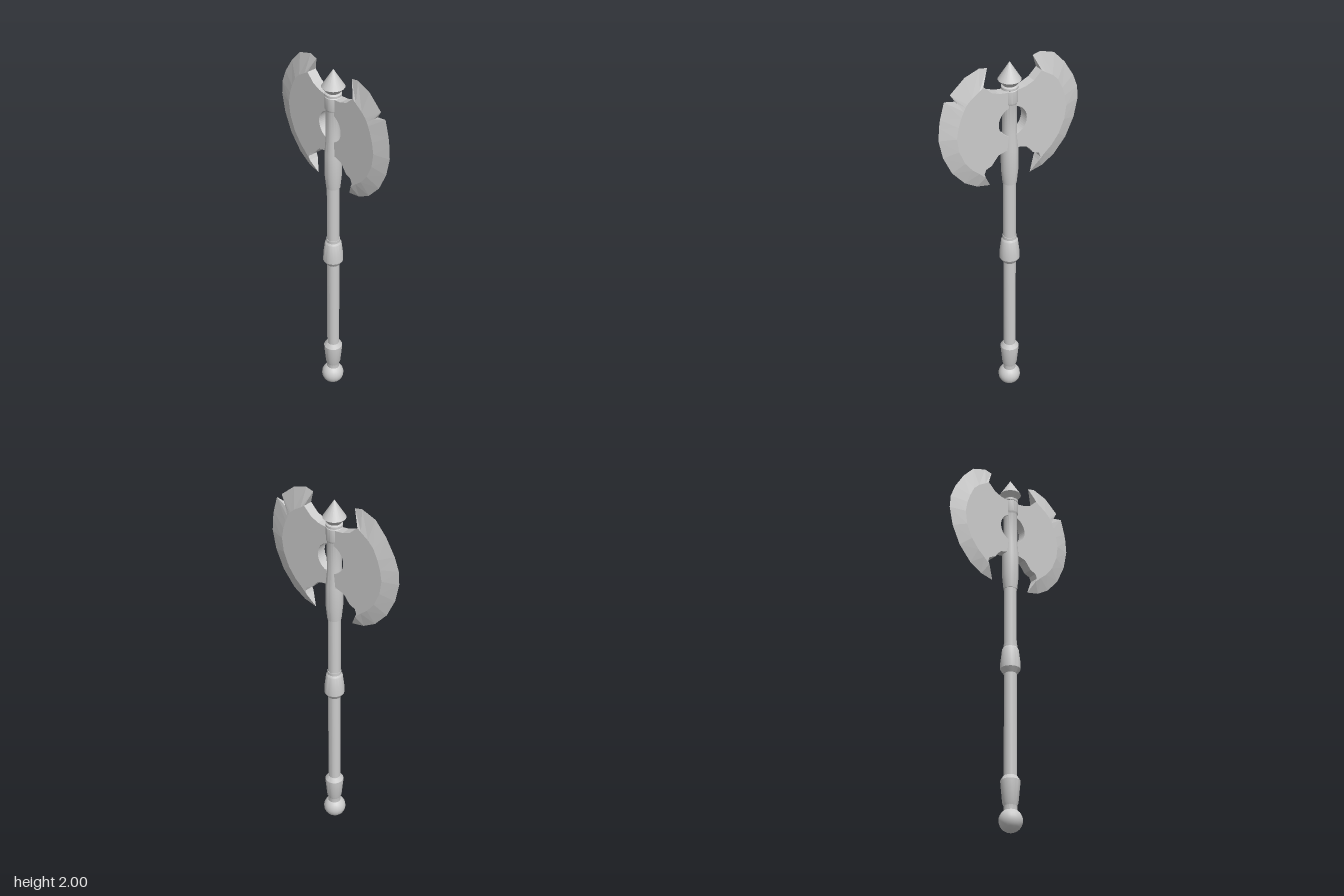
import * as THREE from 'three';
import { toCreasedNormals } from 'three/addons/utils/BufferGeometryUtils.js';

const T = 0.026; // half thickness of the blades
const metal = new THREE.MeshStandardMaterial({ color: 0xcccccc });
const faceted = new THREE.MeshStandardMaterial({ color: 0xcccccc, flatShading: true });

function add(parent, name, geometry, material = metal) {
  const mesh = new THREE.Mesh(geometry, material);
  mesh.name = name;
  parent.add(mesh);
  return mesh;
}

// Turned part from [radius, height] pairs, bottom to top
function turned(parent, name, profile) {
  const lathe = new THREE.LatheGeometry(profile.map(([r, y]) => new THREE.Vector2(r, y)), 18);
  return add(parent, name, toCreasedNormals(lathe, 0.5));
}

// Cutting edge: [distance from shaft, height, half thickness] from upper to lower horn
const EDGE = [[0.127, 1.99], [0.17, 2.0], [0.25, 1.973], [0.313, 1.905], [0.366, 1.82], [0.393, 1.75],
  [0.398, 1.68], [0.377, 1.58], [0.33, 1.48], [0.26, 1.4], [0.19, 1.358], [0.117, 1.342]];
// Ridge where the bevel meets the flat cheek, paired with the edge
const RIDGE = [[0.164, 1.91], [0.186, 1.894], [0.228, 1.867], [0.26, 1.835], [0.286, 1.782], [0.302, 1.735],
  [0.313, 1.676], [0.302, 1.602], [0.27, 1.528], [0.228, 1.475], [0.19, 1.443], [0.155, 1.41]];
// Inner outlines running towards the shaft
const LOWER = [[0.163, 1.43], [0.154, 1.455], [0.12, 1.468], [0.095, 1.5], [0.08, 1.515], [0.04, 1.525], [0, 1.525]];
const UPPER = [[0, 1.845], [0.04, 1.845], [0.075, 1.85], [0.12, 1.868]];

// Flat cheek with half of the round window around the shaft
function cheekGeometry(ridge) {
  const shape = new THREE.Shape();
  [...ridge, ...LOWER].forEach(([d, y], i) => (i ? shape.lineTo(d, y) : shape.moveTo(d, y)));
  shape.lineTo(0, 1.6);
  shape.absarc(0, 1.68, 0.08, -Math.PI / 2, Math.PI / 2, false);
  UPPER.forEach(([d, y]) => shape.lineTo(d, y));
  shape.closePath();
  return new THREE.ExtrudeGeometry(shape, { depth: 2 * T, bevelEnabled: false, curveSegments: 12 })
    .translate(0, 0, -T);
}

// Sharpened rim joining the ridge on both faces to the edge
function bevelGeometry(edge, ridge) {
  const pos = [];
  const tri = (...pts) => pts.forEach((p) => pos.push(...p));
  const quad = (a, b, c, d) => { tri(a, b, c); tri(a, c, d); };
  const E = (i, s) => [edge[i][0], edge[i][1], s * (edge[i][2] || 0)];
  const R = (i, s) => [ridge[i][0], ridge[i][1], s * T];
  const n = edge.length - 1;
  for (let i = 0; i < n; i++) {
    quad(E(i, 1), R(i, 1), R(i + 1, 1), E(i + 1, 1));
    quad(E(i, -1), E(i + 1, -1), R(i + 1, -1), R(i, -1));
    if (edge[i][2]) tri(E(i, 1), E(i + 1, 1), E(i, -1));
    if (edge[i + 1][2]) tri(E(i, 1), E(i + 1, 1), E(i + 1, -1));
  }
  // Horn ends
  tri(E(0, 1), R(0, -1), R(0, 1));
  tri(E(n, 1), R(n, 1), R(n, -1));
  const geo = new THREE.BufferGeometry();
  geo.setAttribute('position', new THREE.Float32BufferAttribute(pos, 3));
  geo.computeVertexNormals();
  return geo;
}

function blade(name, edge, ridge, angle) {
  const group = new THREE.Group();
  group.name = name;
  add(group, 'cheek', cheekGeometry(ridge), faceted);
  add(group, 'cuttingEdge', bevelGeometry(edge, ridge), faceted);
  group.rotation.y = angle;
  group.position.x = 0.004;
  return group;
}

export function createModel() {
  const axe = new THREE.Group();
  axe.name = 'doubleAxe';

  // Handle
  add(axe, 'pommel', new THREE.SphereGeometry(0.06, 20, 14)).position.set(-0.003, 0.061, 0);
  turned(axe, 'pommelCup', [[0, 0.1], [0.034, 0.11], [0.034, 0.135], [0.04, 0.15], [0.049, 0.245],
    [0.05, 0.265], [0.035, 0.288], [0, 0.288]]);
  turned(axe, 'shaft', [[0.033, 0.27], [0.033, 1.34]]);
  turned(axe, 'gripRing', [[0.03, 0.836], [0.036, 0.836], [0.053, 0.862], [0.052, 0.9], [0.043, 0.972],
    [0.036, 0.982], [0.036, 0.998], [0.03, 0.998]]);

  // Head socket
  turned(axe, 'socket', [[0.03, 1.32], [0.036, 1.32], [0.044, 1.4], [0.044, 1.52], [0.037, 1.61],
    [0.037, 1.77], [0.042, 1.78], [0.042, 1.845], [0.034, 1.853]]);
  turned(axe, 'spike', [[0.034, 1.845], [0.042, 1.85], [0.042, 1.862], [0.034, 1.868], [0.04, 1.876],
    [0.058, 1.897], [0, 1.99]]);

  // Blades: the front one has a chip in its edge
  const chippedEdge = [...EDGE];
  chippedEdge.splice(3, 2, [0.33, 1.905], [0.297, 1.857, 0.013], [0.362, 1.878], [0.386, 1.793]);
  const chippedRidge = [...RIDGE];
  chippedRidge.splice(3, 2, [0.252, 1.845], [0.262, 1.832], [0.272, 1.812], [0.286, 1.782]);
  axe.add(blade('frontBlade', chippedEdge, chippedRidge, -Math.PI / 2));
  axe.add(blade('backBlade', EDGE, RIDGE, Math.PI / 2));
  return axe;
}
